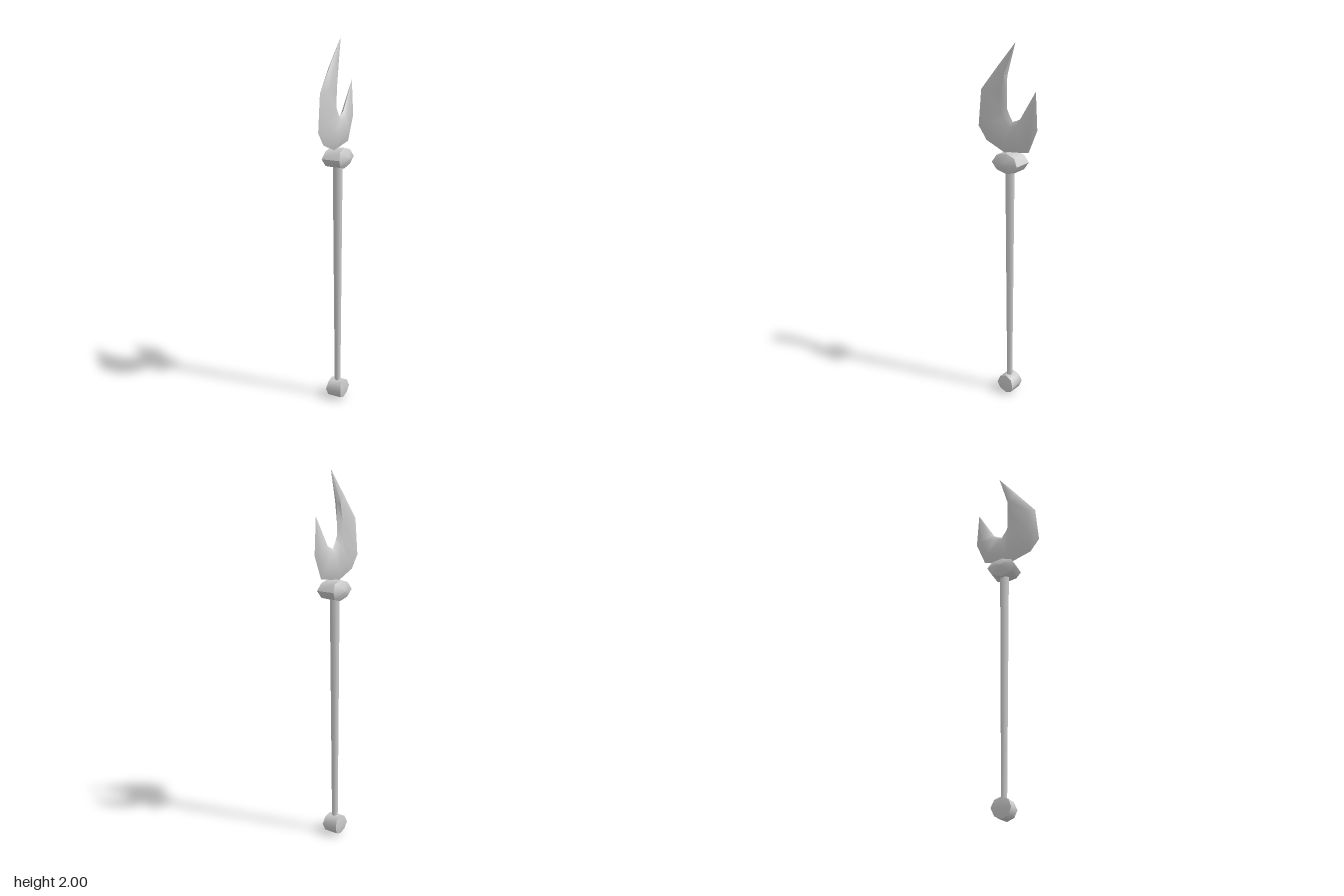
import * as THREE from 'three';
import { toCreasedNormals } from 'three/addons/utils/BufferGeometryUtils.js';

const material = new THREE.MeshStandardMaterial({ color: 0xcccccc });
const v = (x, y, z) => new THREE.Vector3(x, y, z);

// Skin closed rings of equal length; rings that shrink to a point close the ends.
function loft(rings) {
  const points = [];
  const tri = (a, b, c) => {
    if (a.distanceTo(b) > 1e-6 && b.distanceTo(c) > 1e-6 && c.distanceTo(a) > 1e-6) points.push(a, b, c);
  };
  for (let i = 0; i < rings.length - 1; i++) {
    const r = rings[i], s = rings[i + 1], n = r.length;
    for (let j = 0; j < n; j++) {
      const k = (j + 1) % n;
      tri(r[j], s[k], r[k]);
      tri(r[j], s[j], s[k]);
    }
  }
  return toCreasedNormals(new THREE.BufferGeometry().setFromPoints(points), 1.0);
}

function addPart(group, name, geometry) {
  const mesh = new THREE.Mesh(geometry, material);
  mesh.name = name;
  group.add(mesh);
  return mesh;
}

// Eight-sided knob lying across x, with a shallow point on each side.
// xTop / xMid: half width of the rim at its top and at its front and back.
function knob(y, z, ry, rz, xTop, xMid, xTip) {
  const ring = (side) => Array.from({ length: 8 }, (_, k) => {
    const a = (k * Math.PI) / 4;
    const x = THREE.MathUtils.lerp(xMid, xTop, Math.abs(Math.sin(a)));
    return v(side * x, y + ry * Math.sin(a), z + rz * Math.cos(a));
  });
  const tip = (side) => Array.from({ length: 8 }, () => v(side * xTip, y, z));
  return loft([tip(-1), ring(-1), ring(1), tip(1)]);
}

// Crescent stations: outer z, y, inner z, y, half thickness.
const crescent = [
  [-0.05, 2.0, -0.05, 2.0, 0],
  [0.06, 1.87, 0.0, 1.83, 0.017],
  [0.167, 1.74, 0.0, 1.74, 0.018],
  [0.187, 1.545, 0.0, 1.66, 0.018],
  [0.135, 1.475, -0.012, 1.635, 0.018],
  [0.02, 1.43, -0.035, 1.6, 0.018],
  [-0.135, 1.455, -0.06, 1.61, 0.018],
  [-0.187, 1.58, -0.08, 1.62, 0.018],
  [-0.175, 1.775, -0.175, 1.775, 0],
];

function blade() {
  return loft(crescent.map(([oz, oy, iz, iy, w]) => {
    const at = (t, x) => v(x, THREE.MathUtils.lerp(oy, iy, t), THREE.MathUtils.lerp(oz, iz, t));
    return [at(0, 0), at(0.28, w), at(0.85, w), at(1, 0), at(0.85, -w), at(0.28, -w)];
  }));
}

export function createModel() {
  const group = new THREE.Group();
  group.name = 'staff';

  // Tapered six-sided shaft
  const shaft = addPart(group, 'shaft', new THREE.CylinderGeometry(0.026, 0.016, 1.28, 6));
  shaft.position.set(0, 0.72, -0.018);

  // Knobs at the foot and under the blade
  addPart(group, 'pommel', knob(0.055, -0.018, 0.055, 0.053, 0.037, 0.046, 0.048));
  addPart(group, 'collar', knob(1.385, -0.02, 0.055, 0.08, 0.038, 0.053, 0.072));

  // Two-pronged crescent with bevelled edges
  addPart(group, 'blade', blade());
  return group;
}
